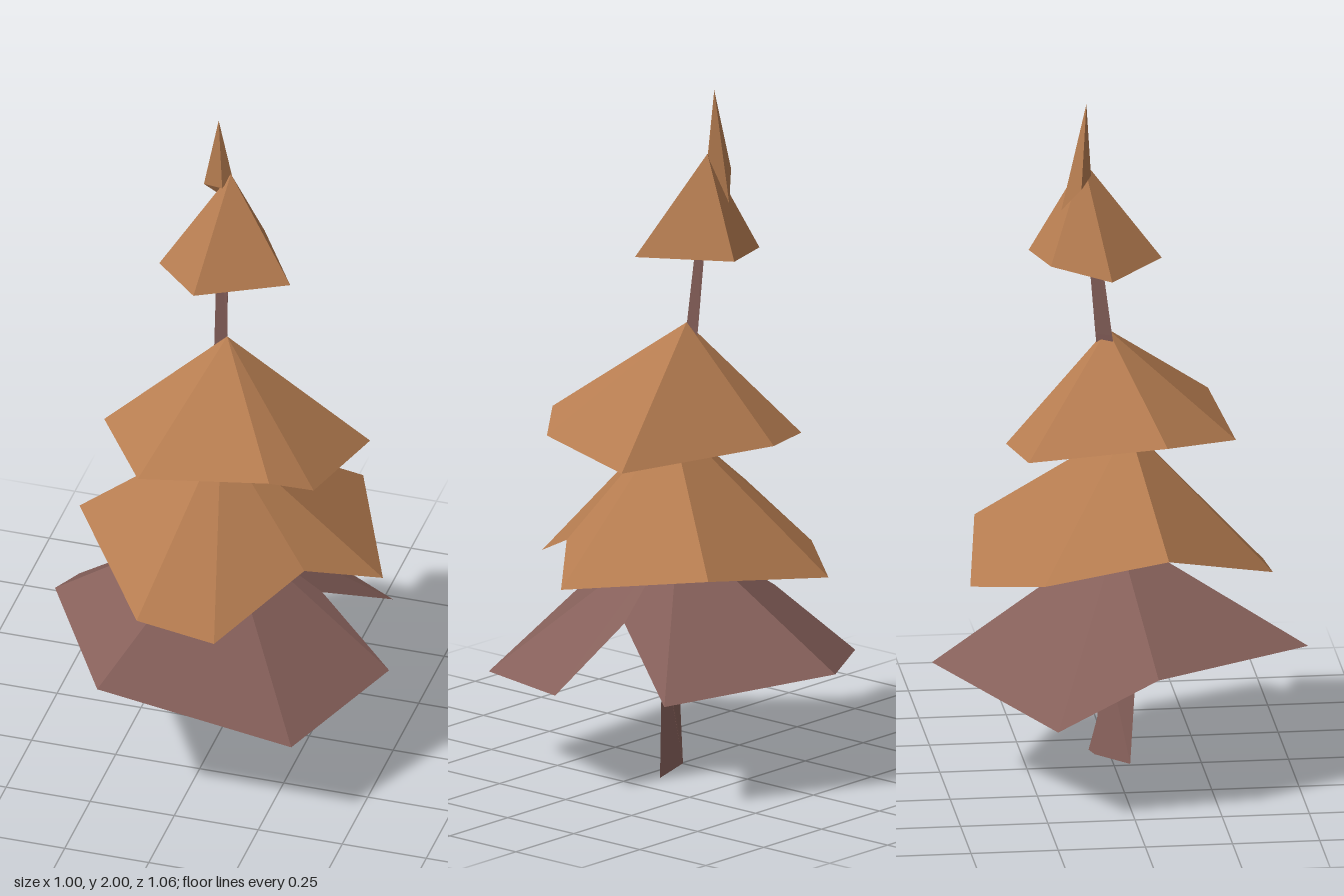
import * as THREE from 'three';

const tan = new THREE.MeshStandardMaterial({ color: 0xb57c50, side: THREE.DoubleSide });
tan.name = 'tan foliage';
const brown = new THREE.MeshStandardMaterial({ color: 0x86605a, side: THREE.DoubleSide });
brown.name = 'reddish brown bark';

// Flat-faced mesh from a list of triangle corners
function facetMesh(name, corners, material) {
  const geometry = new THREE.BufferGeometry();
  geometry.setAttribute('position', new THREE.Float32BufferAttribute(corners.flat(), 3));
  geometry.computeVertexNormals();
  const mesh = new THREE.Mesh(geometry, material);
  mesh.name = name;
  return mesh;
}

// Open, uneven cone: an apex joined to a loop of rim points
function tier(name, apex, rim, material) {
  const corners = [];
  rim.forEach((p, i) => corners.push(apex, rim[(i + 1) % rim.length], p));
  return facetMesh(name, corners, material);
}

// Loft through matching cross-sections, with both ends closed
function loft(name, sections, material) {
  const corners = [];
  const n = sections[0].length;
  for (let s = 0; s < sections.length - 1; s++) {
    for (let i = 0; i < n; i++) {
      const j = (i + 1) % n;
      const [a, b, c, d] = [sections[s][i], sections[s][j], sections[s + 1][j], sections[s + 1][i]];
      corners.push(a, c, b, a, d, c);
    }
  }
  const top = sections[sections.length - 1];
  for (let i = 1; i < n - 1; i++) {
    corners.push(sections[0][0], sections[0][i], sections[0][i + 1]);
    corners.push(top[0], top[i + 1], top[i]);
  }
  return facetMesh(name, corners, material);
}

export function createModel() {
  const group = new THREE.Group();
  group.name = 'tree';

  // Leaning three-sided trunk
  group.add(loft('trunk', [
    [[0.155, 0, -0.055], [-0.05, 0.02, 0.04], [0.05, 0.02, -0.05]],
    [[0.06, 0.36, 0.02], [-0.05, 0.36, 0.06], [0.1, 0.36, -0.02]],
    [[0.05, 0.7, 0.0], [-0.03, 0.7, 0.04], [0.02, 0.7, -0.04]],
    [[0.025, 1.05, 0.01], [-0.03, 1.05, 0.03], [0, 1.05, -0.03]],
    [[0, 1.3, -0.02], [-0.035, 1.3, -0.01], [-0.01, 1.3, -0.055]],
    [[-0.01, 1.72, -0.07], [-0.04, 1.72, -0.065], [-0.02, 1.72, -0.09]],
  ], brown));

  // Bottom tier, with a notch on the left side
  group.add(tier('bottomTier', [0, 0.7, 0.01], [
    [-0.06, 0.35, -0.53], [0.41, 0.31, -0.295], [0.28, 0.48, -0.03], [0.5, 0.3, 0.04],
    [0.33, 0.26, 0.44], [-0.22, 0.41, 0.53], [-0.485, 0.41, 0.07], [-0.5, 0.27, -0.22],
  ], brown));

  // Second tier, notched at the front left
  group.add(tier('lowerMiddleTier', [0, 1.02, 0.04], [
    [-0.145, 0.6, -0.43], [0.3, 0.67, -0.365], [0.48, 0.61, 0.035], [0.29, 0.69, 0.18],
    [0.1, 0.57, 0.44], [-0.13, 0.605, 0.44], [-0.4, 0.735, 0.11], [-0.295, 0.64, -0.235],
  ], tan));

  // Third tier
  group.add(tier('upperMiddleTier', [0, 1.31, -0.02], [
    [-0.21, 0.985, -0.27], [-0.04, 0.99, -0.315], [0.395, 0.965, -0.12], [0.33, 1.0, 0.22],
    [0.22, 1.05, 0.295], [-0.16, 1.015, 0.33], [-0.325, 1.05, 0.115],
  ], tan));

  // Small cap
  group.add(tier('topTier', [-0.01, 1.82, -0.09], [
    [-0.115, 1.54, -0.195], [0.045, 1.54, -0.24], [0.195, 1.54, 0.005],
    [-0.055, 1.535, 0.13], [-0.205, 1.515, -0.03],
  ], tan));

  // Pointed tip rising from the cap
  group.add(tier('tip', [-0.045, 2, -0.085], [
    [-0.095, 1.76, -0.105], [-0.03, 1.68, -0.155], [-0.008, 1.81, -0.095], [-0.03, 1.78, -0.07],
  ], tan));

  return group;
}
